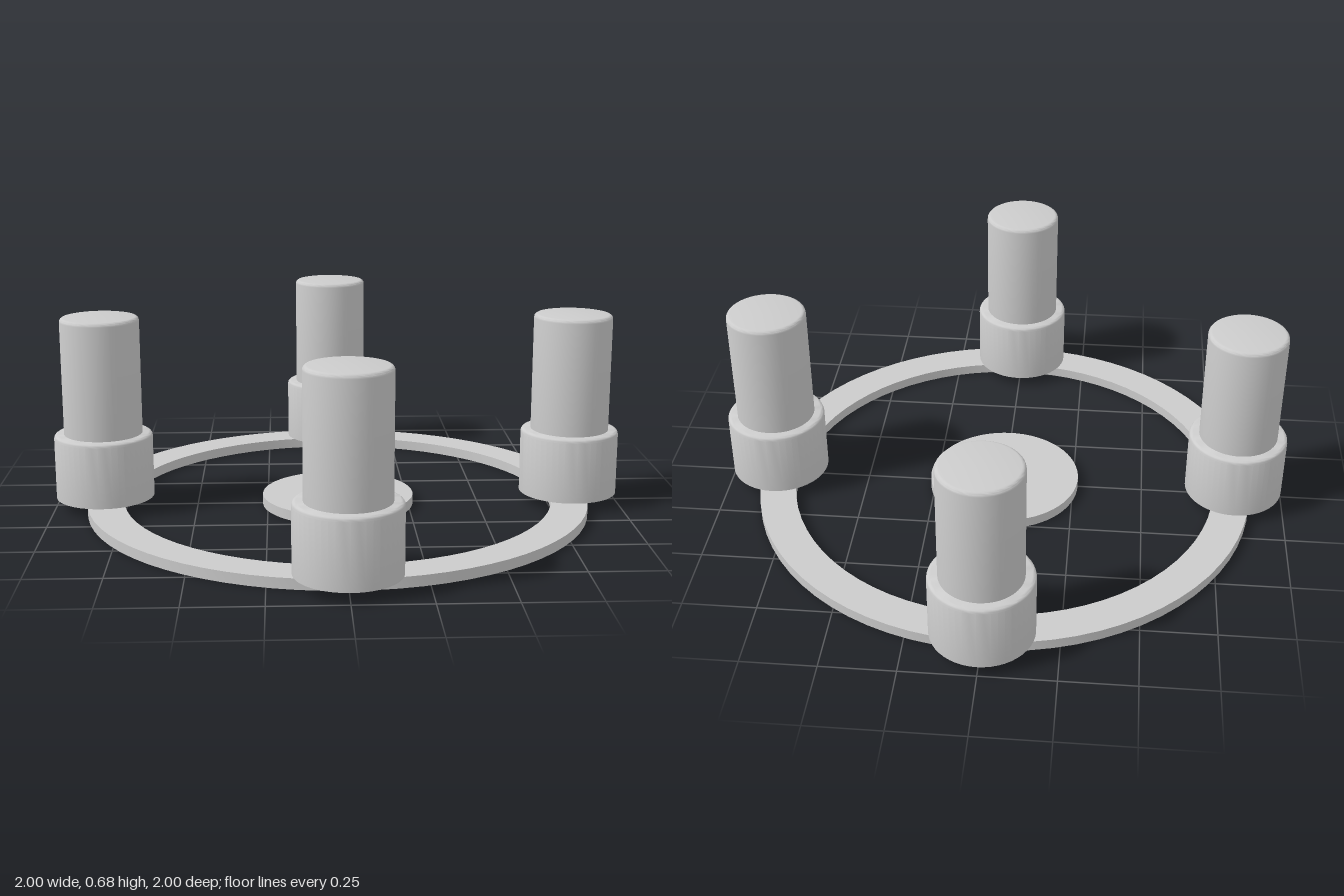
import * as THREE from 'three';
import { toCreasedNormals } from 'three/addons/utils/BufferGeometryUtils.js';

const material = new THREE.MeshStandardMaterial({ color: 0xcccccc });
const BASE = 0.036;      // thickness of ring and disc
const POST_RADIUS = 0.827; // distance of the posts from the centre

function lathe(name, points, segments) {
  const profile = points.map(([r, y]) => new THREE.Vector2(r, y));
  const geometry = toCreasedNormals(new THREE.LatheGeometry(profile, segments), 0.6);
  const mesh = new THREE.Mesh(geometry, material);
  mesh.name = name;
  return mesh;
}

// Closed cylinder with a sharp bottom edge and a rounded top edge
function roundedCylinder(name, radius, bottom, top, bevel) {
  const points = [[0, bottom], [radius, bottom]];
  for (let i = 0; i <= 4; i++) {
    const a = (i / 4) * Math.PI / 2;
    points.push([radius - bevel + bevel * Math.cos(a), top - bevel + bevel * Math.sin(a)]);
  }
  points.push([0, top]);
  return lathe(name, points, 48);
}

export function createModel() {
  const model = new THREE.Group();
  model.name = 'postStand';

  // Flat base ring
  const inner = 0.757, outer = 0.885;
  model.add(lathe('baseRing',
    [[inner, 0], [outer, 0], [outer, BASE], [inner, BASE], [inner, 0]], 72));

  // Loose disc in the middle
  model.add(lathe('centreDisc', [[0, 0], [0.268, 0], [0.268, BASE], [0, BASE]], 64));

  // Four posts, each a wide collar carrying a narrower cylinder
  for (let i = 0; i < 4; i++) {
    const angle = i * Math.PI / 2;
    const post = new THREE.Group();
    post.name = 'post' + (i + 1);
    post.add(roundedCylinder('collar', 0.172, BASE + 0.001, 0.267, 0.014));
    post.add(roundedCylinder('pillar', 0.137, 0.25, 0.68, 0.014));
    post.position.set(Math.sin(angle) * POST_RADIUS, 0, Math.cos(angle) * POST_RADIUS);
    model.add(post);
  }
  return model;
}
